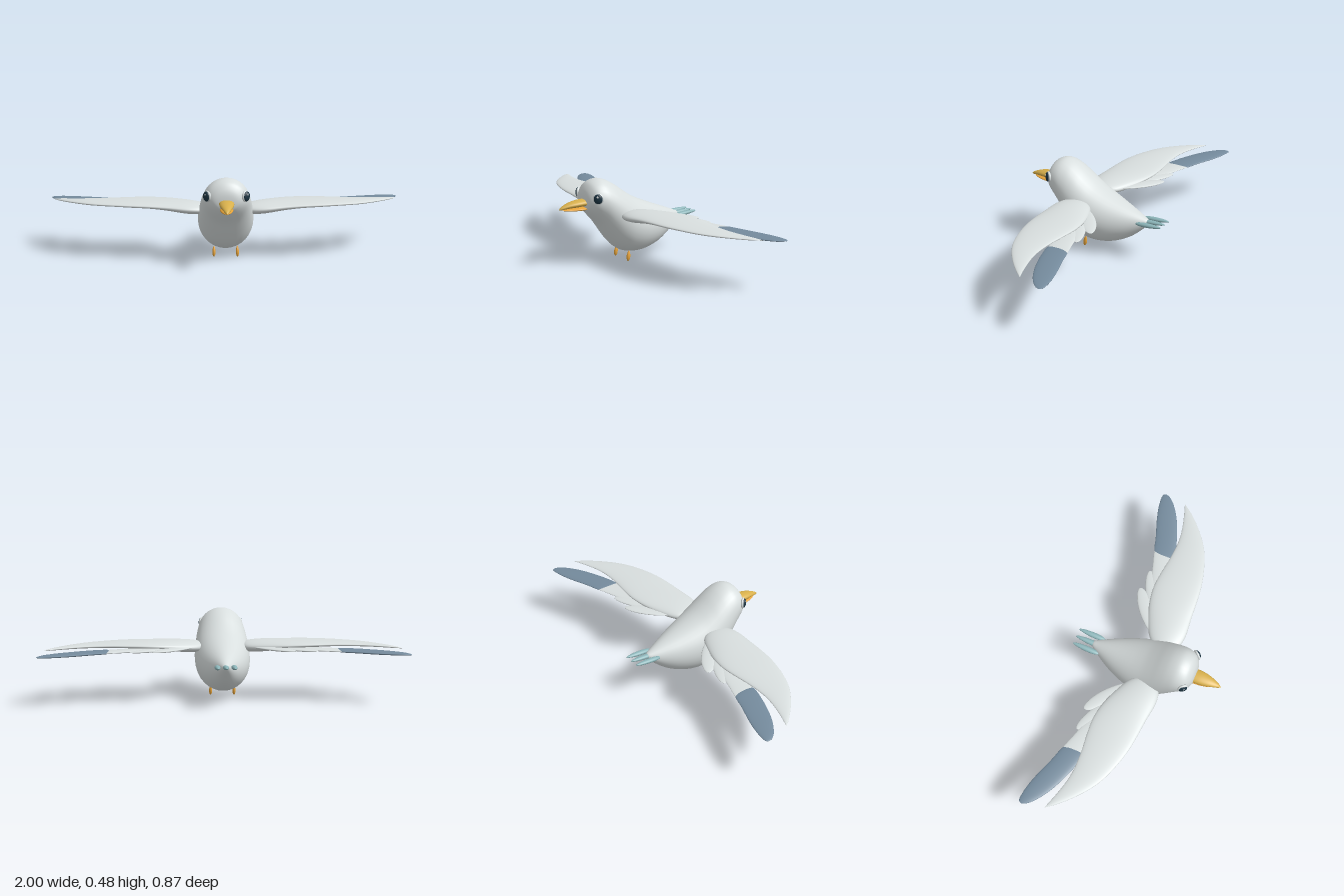
import * as THREE from 'three';

const mat = (name, color) => Object.assign(new THREE.MeshStandardMaterial({ color }), { name });
const V = (x, y, z) => new THREE.Vector3(x, y, z);

// Resample a table of cross-sections with a smooth curve through each column
function smooth(rows, n) {
  const curves = rows[0].map((_, c) => new THREE.SplineCurve(rows.map((r, i) => new THREE.Vector2(i, r[c]))));
  return Array.from({ length: n + 1 }, (_, i) => curves.map((k) => k.getPoint(i / n).y));
}

// Skin elliptical rings, each given as [centre, half axis, half axis]
function loft(rings, seg = 32) {
  const pos = [], index = [];
  for (const [c, u, v] of rings) {
    for (let j = 0; j < seg; j++) {
      const a = (j / seg) * Math.PI * 2;
      pos.push(...c.clone().addScaledVector(u, Math.cos(a)).addScaledVector(v, Math.sin(a)).toArray());
    }
  }
  // Wind the faces so that they look outwards along the path
  const along = rings[rings.length - 1][0].clone().sub(rings[0][0]);
  const mid = rings[rings.length >> 1];
  const flip = mid[1].clone().cross(mid[2]).dot(along) < 0;
  for (let i = 0; i < rings.length - 1; i++) {
    for (let j = 0; j < seg; j++) {
      const k = (j + 1) % seg;
      const a = i * seg + j, b = i * seg + k, c = a + seg, d = b + seg;
      index.push(...(flip ? [a, c, b, b, c, d] : [a, b, c, b, d, c]));
    }
  }
  const g = new THREE.BufferGeometry();
  g.setAttribute('position', new THREE.Float32BufferAttribute(pos, 3));
  g.setIndex(index);
  g.computeVertexNormals();
  return g;
}

// Loft along z from rows of [z, top, bottom, half width]
const loftZ = (rows, n) => loft(smooth(rows, n).map(([z, t, b, w]) =>
  [V(0, (t + b) / 2, z), V(Math.max(w, 0), 0, 0), V(0, Math.max((t - b) / 2, 0), 0)]));

// Loft along x from rows of [x, front z, back z, y, half thickness]
const loftX = (rows, n, s) => loft(smooth(rows, n).map(([x, f, b, y, h]) =>
  [V(s * x, y, (f + b) / 2), V(0, 0, (f - b) / 2), V(0, Math.max(h, 0), 0)]));

// Rounded leaf from a to b; power above 1 moves the widest place towards b
function leaf(a, b, w, h, power = 1) {
  const d = b.clone().sub(a);
  const side = d.clone().cross(Math.abs(d.y) > Math.abs(d.z) ? V(0, 0, 1) : V(0, 1, 0)).normalize();
  const up = side.clone().cross(d).normalize();
  const rings = [];
  for (let i = 0; i <= 20; i++) {
    const t = (1 - Math.cos((i / 20) * Math.PI)) / 2;
    const r = Math.sqrt(Math.max(0, Math.sin(Math.PI * t ** power)));
    rings.push([a.clone().addScaledVector(d, t), side.clone().multiplyScalar(w * r), up.clone().multiplyScalar(h * r)]);
  }
  return loft(rings, 20);
}

export function createModel() {
  const plumage = mat('pale grey plumage', 0xd8dede);
  const slate = mat('slate wing tip', 0x748a9c);
  const teal = mat('teal tail', 0x8db6ba);
  const gold = mat('gold upper beak', 0xd8b04c);
  const orange = mat('orange', 0xe9a53a);
  const dark = mat('dark eye', 0x1c3442);
  const white = mat('white glint', 0xffffff);

  const bird = new THREE.Group();
  bird.name = 'bird';
  const add = (name, geometry, material, parent = bird) => {
    const m = new THREE.Mesh(geometry, material);
    m.name = name;
    parent.add(m);
    return m;
  };

  // Head and body in one skin
  add('body', loftZ([
    [0.287, 0.35, 0.35, 0], [0.283, 0.395, 0.318, 0.052], [0.27, 0.431, 0.297, 0.083],
    [0.245, 0.461, 0.268, 0.11], [0.2, 0.476, 0.218, 0.128], [0.15, 0.464, 0.147, 0.14],
    [0.1, 0.436, 0.087, 0.149], [0.05, 0.4, 0.053, 0.154], [0, 0.367, 0.041, 0.153],
    [-0.05, 0.341, 0.04, 0.146], [-0.1, 0.319, 0.048, 0.133], [-0.15, 0.299, 0.063, 0.115],
    [-0.2, 0.28, 0.087, 0.093], [-0.25, 0.261, 0.12, 0.067], [-0.3, 0.241, 0.165, 0.038],
    [-0.33, 0.228, 0.198, 0.017], [-0.338, 0.215, 0.215, 0],
  ], 64), plumage);

  // Beak halves
  add('upperBeak', loftZ([
    [0.26, 0.35, 0.35, 0], [0.262, 0.368, 0.333, 0.036], [0.3, 0.37, 0.331, 0.04],
    [0.34, 0.366, 0.329, 0.036], [0.38, 0.357, 0.328, 0.026], [0.42, 0.34, 0.324, 0.011], [0.435, 0.326, 0.326, 0],
  ], 30), gold);
  add('lowerBeak', loftZ([
    [0.26, 0.319, 0.319, 0], [0.262, 0.327, 0.312, 0.032], [0.3, 0.328, 0.309, 0.035],
    [0.34, 0.327, 0.31, 0.03], [0.38, 0.325, 0.313, 0.02], [0.418, 0.32, 0.32, 0],
  ], 24), orange);

  // Tail feathers
  for (const x of [-0.045, 0, 0.045]) {
    add('tailFeather', leaf(V(x, 0.212, -0.278), V(x, 0.225, -0.436), 0.016, 0.012, 0.75), teal);
  }

  for (const s of [1, -1]) {
    // Eye: rim, ball and glint, turned outwards
    const eye = new THREE.Group();
    eye.name = s > 0 ? 'leftEye' : 'rightEye';
    eye.position.set(s * 0.103, 0.385, 0.25);
    eye.rotation.y = s * 0.877;
    bird.add(eye);
    const ball = (name, m, p, r) => {
      const b = add(name, new THREE.SphereGeometry(1, 24, 16), m, eye);
      b.position.set(...p);
      b.scale.set(...r);
    };
    ball('eyeRim', plumage, [0, 0, 0], [0.03, 0.031, 0.012]);
    ball('eyeball', dark, [0, 0, 0.006], [0.024, 0.027, 0.012]);
    ball('eyeGlint', white, [-s * 0.002, 0.011, 0.0165], [0.005, 0.006, 0.002]);

    // Leg stub
    add('leg', leaf(V(s * 0.065, 0.06, 0.03), V(s * 0.066, 0, 0.038), 0.009, 0.011, 1.3), orange);

    // Wing: broad front lobe with feathers fanned behind it
    const wing = new THREE.Group();
    wing.name = s > 0 ? 'leftWing' : 'rightWing';
    bird.add(wing);
    add('wingLobe', loftX([
      [0.1, 0.04, 0.03, 0.278, 0], [0.115, 0.1, -0.02, 0.278, 0.022], [0.15, 0.13, -0.055, 0.279, 0.031],
      [0.22, 0.14, -0.09, 0.284, 0.033], [0.32, 0.13, -0.125, 0.293, 0.027], [0.42, 0.122, -0.14, 0.299, 0.021],
      [0.52, 0.11, -0.134, 0.301, 0.018], [0.62, 0.085, -0.122, 0.301, 0.015], [0.72, 0.048, -0.118, 0.299, 0.013],
      [0.8, 0, -0.127, 0.297, 0.011], [0.88, -0.067, -0.147, 0.294, 0.008], [0.94, -0.13, -0.166, 0.291, 0.005],
      [0.975, -0.176, -0.178, 0.288, 0],
    ], 48, s), plumage, wing);
    add('longFeather', loftX([
      [0.2, -0.03, -0.05, 0.28, 0], [0.3, -0.03, -0.1, 0.281, 0.009], [0.45, -0.06, -0.168, 0.281, 0.009],
      [0.55, -0.085, -0.2, 0.28, 0.008], [0.65, -0.115, -0.228, 0.279, 0.006], [0.68, -0.16, -0.2, 0.279, 0],
    ], 24, s), plumage, wing);
    add('featherTip', loftX([
      [0.615, -0.15, -0.18, 0.279, 0], [0.63, -0.105, -0.224, 0.279, 0.008], [0.72, -0.125, -0.254, 0.278, 0.01],
      [0.82, -0.162, -0.29, 0.276, 0.01], [0.9, -0.202, -0.313, 0.275, 0.009], [0.96, -0.245, -0.322, 0.274, 0.007],
      [0.99, -0.278, -0.32, 0.273, 0.004], [1, -0.303, -0.305, 0.273, 0],
    ], 32, s), slate, wing);
    add('middleFeather', leaf(V(s * 0.22, 0.282, -0.03), V(s * 0.51, 0.279, -0.2), 0.042, 0.009, 1.2), plumage, wing);
    add('innerFeather', leaf(V(s * 0.15, 0.283, -0.02), V(s * 0.39, 0.28, -0.21), 0.042, 0.009, 1.2), plumage, wing);
  }
  return bird;
}
